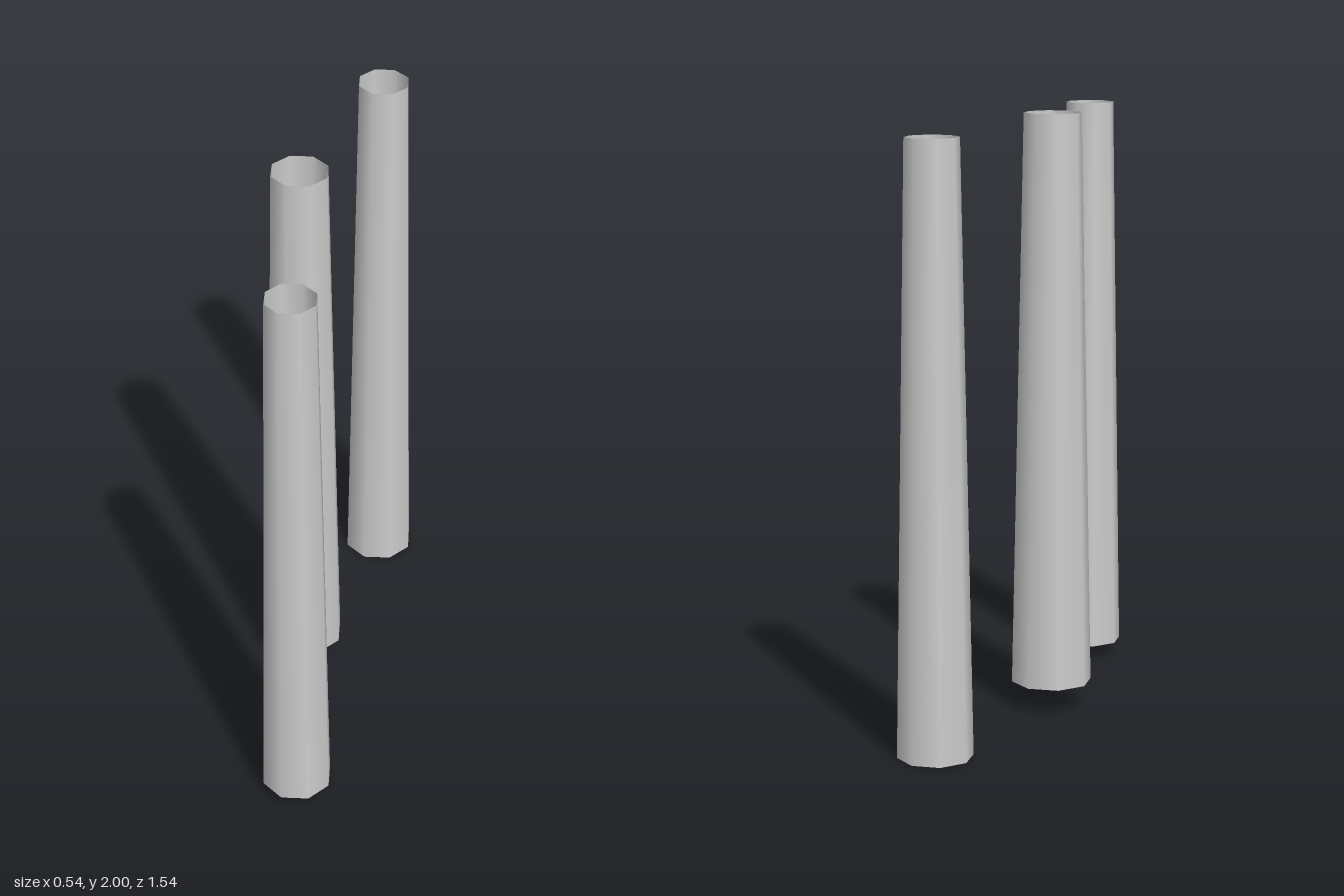
import * as THREE from 'three';

// Three open, tapering eight-sided columns at staggered heights
const COLUMNS = [
  { name: 'frontColumn', x: 0.152, z: 0.65, bottom: 0.047, top: 1.99, rBottom: 0.118, rTop: 0.083 },
  { name: 'middleColumn', x: -0.128, z: 0.024, bottom: 0.088, top: 2, rBottom: 0.135, rTop: 0.096 },
  { name: 'backColumn', x: -0.149, z: -0.647, bottom: 0, top: 1.965, rBottom: 0.123, rTop: 0.087 },
];

export function createModel() {
  const model = new THREE.Group();
  model.name = 'columns';
  const grey = new THREE.MeshStandardMaterial({ color: 0xcccccc, side: THREE.DoubleSide });
  grey.name = 'light grey';

  for (const c of COLUMNS) {
    // Smooth-sided tube without end caps
    const tube = new THREE.CylinderGeometry(c.rTop, c.rBottom, c.top - c.bottom, 8, 1, true);
    const column = new THREE.Mesh(tube, grey);
    column.name = c.name;
    column.position.set(c.x, (c.top + c.bottom) / 2, c.z);
    model.add(column);
  }
  return model;
}
